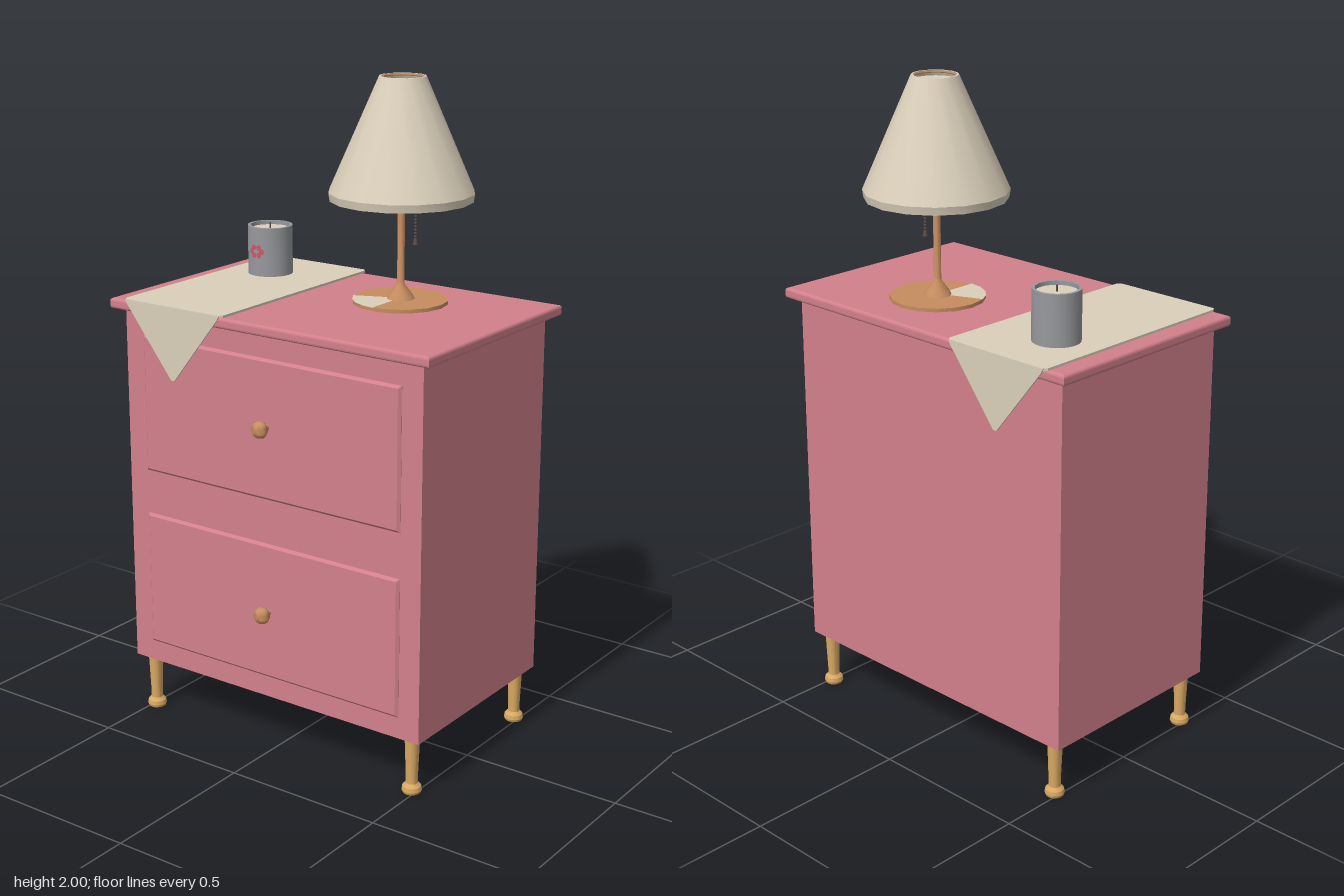
import * as THREE from 'three';
import { toCreasedNormals } from 'three/addons/utils/BufferGeometryUtils.js';

const mat = (name, color) => {
  const m = new THREE.MeshStandardMaterial({ color });
  m.name = name;
  return m;
};

export function createModel() {
  const pink = mat('pink paint', 0xd2808b);
  const linen = mat('linen', 0xdacfba);
  const wood = mat('light wood', 0xd8a863);
  const copper = mat('copper', 0xc68d60);
  const grey = mat('grey glass', 0x97999d);
  const dark = mat('dark metal', 0x5c4c44);
  const red = mat('flower red', 0xd0586c);

  const model = new THREE.Group();
  model.name = 'nightstand';

  const add = (name, geo, material, x = 0, y = 0, z = 0, parent = model) => {
    const mesh = new THREE.Mesh(geo, material);
    mesh.name = name;
    mesh.position.set(x, y, z);
    parent.add(mesh);
    return mesh;
  };
  const group = (name, x, y, z) => {
    const g = new THREE.Group();
    g.name = name;
    g.position.set(x, y, z);
    model.add(g);
    return g;
  };
  // Turned profile of [radius, height] pairs, listed bottom to top
  const turned = (pts, sides = 16, crease = 0.5) =>
    toCreasedNormals(new THREE.LatheGeometry(pts.map(p => new THREE.Vector2(...p)), sides), crease);
  const polygon = pts => new THREE.Shape(pts.map(p => new THREE.Vector2(...p)));
  // Slab of outer size w x h, thickness d along z from 0, with chamfered edges
  const slab = (w, h, d, b, both) => {
    const x = w / 2 - b, y = h / 2 - b;
    const geo = new THREE.ExtrudeGeometry(polygon([[-x, -y], [x, -y], [x, y], [-x, y]]), {
      depth: d - 2 * b, bevelEnabled: true, bevelSize: b, bevelThickness: b, bevelSegments: both ? 3 : 1,
    });
    return geo.translate(0, 0, b);
  };

  // Cabinet body and top board
  add('cabinetBody', new THREE.BoxGeometry(1.064, 1.13, 0.65), pink, 0, 0.742, -0.005);
  const board = slab(1.135, 0.713, 0.033, 0.009, true).rotateX(-Math.PI / 2);
  add('topBoard', board, pink, 0, 1.303, -0.0065);

  // Drawer fronts and knobs
  const knob = turned([[0.012, 0], [0.01, 0.018], [0.02, 0.022], [0.026, 0.034],
    [0.023, 0.046], [0.012, 0.054], [0, 0.056]], 16, 0.9).rotateX(Math.PI / 2);
  for (const [name, y, knobY] of [['upper', 1.02, 1.03], ['lower', 0.456, 0.455]]) {
    add(name + 'DrawerFront', slab(0.926, 0.426, 0.018, 0.008), pink, 0, y, 0.311);
    add(name + 'DrawerKnob', knob, copper, 0, knobY, 0.322);
  }

  // Four turned legs
  const leg = turned([[0, 0], [0.027, 0], [0.03, 0.008], [0.028, 0.02], [0.018, 0.03],
    [0.018, 0.05], [0.023, 0.178], [0, 0.178]]);
  for (const x of [-0.487, 0.487])
    for (const z of [-0.294, 0.283]) add('leg', leg, wood, x, 0, z);

  // Table runner: flat strip with clipped corners, and a pointed flap at each end
  const c = 0.012, rx = 0.185, rz = 0.365;
  const strip = new THREE.ExtrudeGeometry(polygon([[-rx + c, -rz], [rx - c, -rz], [rx, -rz + c], [rx, rz - c],
    [rx - c, rz], [-rx + c, rz], [-rx, rz - c], [-rx, -rz + c]]), { depth: 0.007, bevelEnabled: false });
  add('runner', strip.rotateX(-Math.PI / 2), linen, -0.325, 1.336, -0.011);
  const flap = new THREE.ExtrudeGeometry(polygon([[-0.178, 0], [-0.172, -0.012], [-0.006, -0.222],
    [0.006, -0.222], [0.172, -0.012], [0.178, 0]]), { depth: 0.005, bevelEnabled: false });
  add('frontRunnerFlap', flap, linen, -0.325, 1.342, 0.3505);
  add('backRunnerFlap', flap, linen, -0.325, 1.342, -0.376);

  // Candle in a glass, with wax, wick and a small flower
  const candle = group('candle', -0.368, 1.343, -0.175);
  add('candleGlass', turned([[0, 0], [0.07, 0], [0.07, 0.152], [0.061, 0.152], [0.061, 0.135]], 24),
    grey, 0, 0, 0, candle);
  add('wax', new THREE.CylinderGeometry(0.062, 0.062, 0.01, 24), linen, 0, 0.135, 0, candle);
  add('wick', new THREE.CylinderGeometry(0.003, 0.003, 0.02, 6), dark, 0, 0.149, 0, candle);
  for (let i = 0; i < 6; i++) {
    const t = i / 6 * Math.PI * 2;
    const turn = Math.cos(t) * 0.018 / 0.07;
    add('petal', new THREE.CircleGeometry(0.009, 10), red,
      Math.sin(turn) * 0.072, 0.078 + Math.sin(t) * 0.014, Math.cos(turn) * 0.072, candle).rotation.y = turn;
  }

  // Lamp foot, with a pale sector on the disc, and its stem
  const lamp = group('lamp', 0.163, 1.336, -0.115);
  add('lampBase', new THREE.CylinderGeometry(0.143, 0.143, 0.011, 16), copper, 0, 0.0055, 0, lamp);
  add('baseInlay', new THREE.CylinderGeometry(0.1435, 0.1435, 0.002, 4, 1, false, -Math.PI * 3 / 8, Math.PI / 2 * 0.75),
    linen, 0, 0.011, 0, lamp);
  add('lampStem', turned([[0.042, 0.01], [0.036, 0.022], [0.014, 0.052], [0.011, 0.06], [0.011, 0.31],
    [0.02, 0.315], [0.02, 0.38], [0, 0.38]]), copper, 0, 0, 0, lamp);
  add('crossBar', new THREE.BoxGeometry(0.012, 0.008, 0.11), copper, 0, 0.316, 0, lamp);
  add('chainArm', new THREE.BoxGeometry(0.055, 0.008, 0.008), copper, 0.0265, 0.318, 0, lamp);

  // Beaded pull chain
  for (let i = 0; i < 12; i++)
    add('chainBead', new THREE.SphereGeometry(0.0045, 8, 6), dark, 0.05, 0.312 - i * 0.01, 0, lamp);
  add('chainPull', new THREE.CylinderGeometry(0.004, 0.008, 0.018, 8), dark, 0.05, 0.188, 0, lamp);

  // Hollow lampshade with trimmed openings and a diffuser near the top
  add('lampShade', turned([[0.207, 0.306], [0.212, 0.306], [0.216, 0.33], [0.069, 0.664], [0.063, 0.664],
    [0.21, 0.33], [0.207, 0.306]], 16, 0.4), linen, 0, 0, 0, lamp);
  const ring = r => new THREE.TorusGeometry(r, 0.003, 6, 16).rotateX(Math.PI / 2);
  add('lowerShadeTrim', ring(0.206), copper, 0, 0.309, 0, lamp);
  add('upperShadeTrim', ring(0.063), copper, 0, 0.659, 0, lamp);
  add('shadeDiffuser', new THREE.CylinderGeometry(0.066, 0.068, 0.004, 16), linen, 0, 0.646, 0, lamp);

  return model;
}
